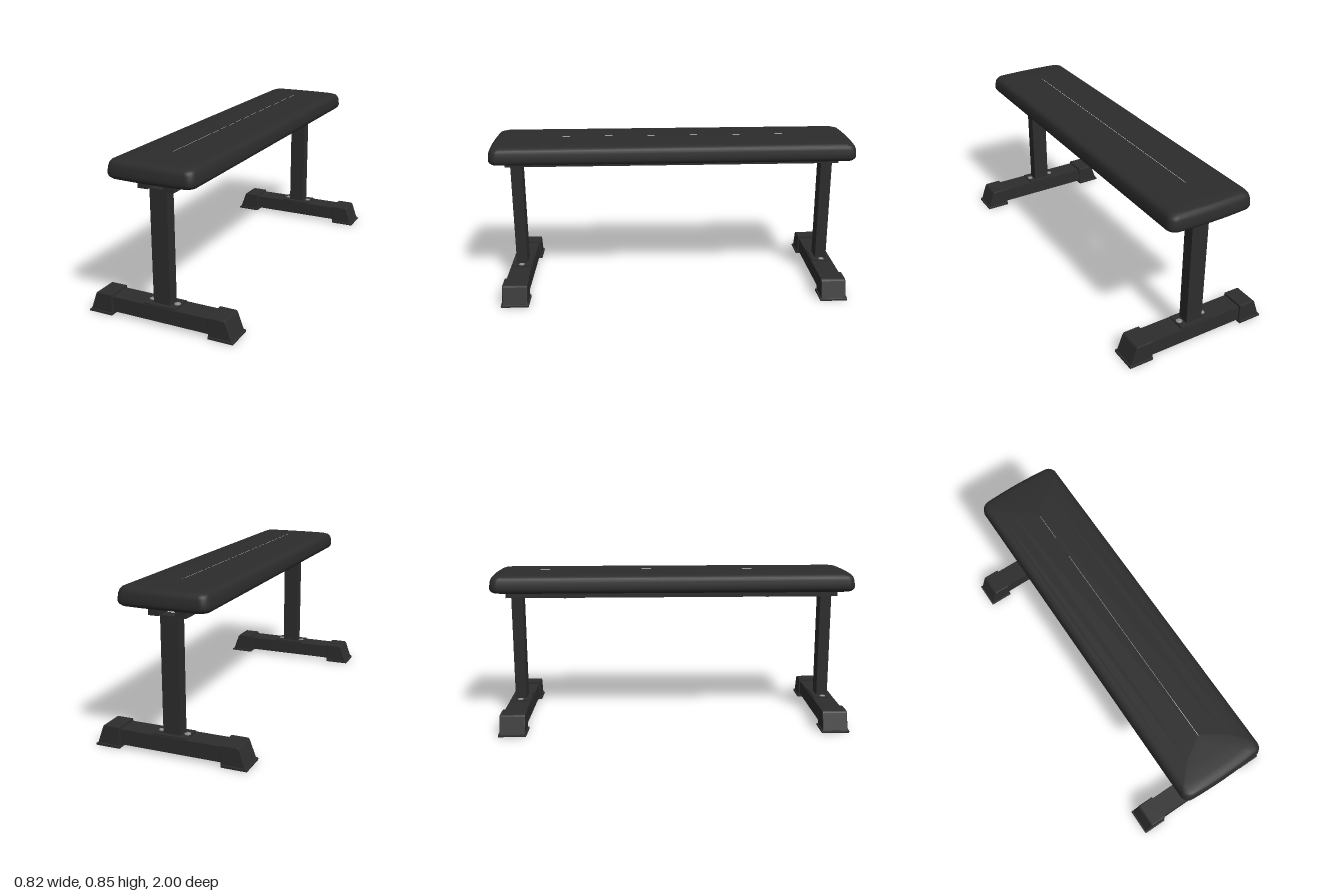
import * as THREE from 'three';

const padMat = new THREE.MeshStandardMaterial({ color: 0x2c2c2c });
padMat.name = 'black vinyl';
const frameMat = new THREE.MeshStandardMaterial({ color: 0x2d2d2d });
frameMat.name = 'black steel';
const boltMat = new THREE.MeshStandardMaterial({ color: 0x8c8c8c });
boltMat.name = 'bolt grey';

function add(parent, geo, mat, name, x = 0, y = 0, z = 0) {
  const mesh = new THREE.Mesh(geo, mat);
  mesh.name = name;
  mesh.position.set(x, y, z);
  parent.add(mesh);
  return mesh;
}

// Rounded rectangle outline in x-z, with gently bowed ends
function padRing(inset, y) {
  const hx = 0.237 - inset, hz = 0.99 - inset, r = Math.min(0.04, hx);
  const pts = [];
  const push = (x, z) => pts.push(x, y, z + Math.sign(z) * 0.01 * (1 - (x / hx) ** 2));
  for (let q = 0; q < 4; q++) {
    const sx = q === 0 || q === 3 ? 1 : -1, sz = q < 2 ? 1 : -1;
    for (let k = 0; k <= 6; k++) {
      const a = (q + k / 6) * Math.PI / 2;
      push(sx * (hx - r) + r * Math.cos(a), sz * (hz - r) + r * Math.sin(a));
    }
    if (q % 2 === 0) {
      for (let k = 1; k < 8; k++) push(sx * (hx - r) * (1 - k / 4), sz * hz);
    }
  }
  return pts;
}

// Pad lofted from [inset, height] layers, bottom to top
function padGeometry() {
  const layers = [[0.236, 0.737], [0.07, 0.737], [0.035, 0.74], [0.013, 0.746], [0.004, 0.755],
    [0, 0.767], [0.001, 0.785], [0.004, 0.808], [0.009, 0.822], [0.017, 0.832], [0.032, 0.838],
    [0.06, 0.841], [0.12, 0.844], [0.236, 0.846]];
  const rings = layers.map(([inset, y]) => padRing(inset, y));
  const n = rings[0].length / 3, index = [];
  for (let i = 0; i < rings.length - 1; i++) {
    for (let j = 0; j < n; j++) {
      const a = i * n + j, b = i * n + (j + 1) % n;
      index.push(a, a + n, b, b, a + n, b + n);
    }
  }
  const geo = new THREE.BufferGeometry();
  geo.setAttribute('position', new THREE.Float32BufferAttribute(rings.flat(), 3));
  geo.setIndex(index);
  geo.computeVertexNormals();
  return geo;
}

// Extrude an x-y outline to a given depth, centred on z, with a small bevel
function slab(points, depth, bevel) {
  const shape = new THREE.Shape(points.map(([x, y]) => new THREE.Vector2(x, y)));
  const geo = new THREE.ExtrudeGeometry(shape, {
    depth: depth - 2 * bevel, bevelEnabled: true, bevelSize: bevel, bevelOffset: -bevel,
    bevelThickness: bevel, bevelSegments: 2,
  });
  return geo.translate(0, 0, -depth / 2 + bevel);
}

// Domed bolt head on a washer
function addBolt(parent, name, x, y, z, up) {
  const bolt = new THREE.Group();
  bolt.name = name;
  add(bolt, new THREE.CylinderGeometry(0.016, 0.016, 0.003, 20), boltMat, 'washer', 0, 0.0015, 0);
  add(bolt, new THREE.CylinderGeometry(0.007, 0.011, 0.003, 20), boltMat, 'boltHead', 0, 0.0045, 0);
  bolt.position.set(x, y, z);
  if (!up) bolt.rotation.x = Math.PI;
  parent.add(bolt);
}

export function createModel() {
  const model = new THREE.Group();
  model.name = 'flatBench';
  add(model, padGeometry(), padMat, 'pad');

  // Rails under the pad, with their bolts
  for (const s of [-1, 1]) {
    add(model, new THREE.BoxGeometry(0.055, 0.042, 1.85), frameMat, 'rail', s * 0.0705, 0.72, 0);
    for (const z of [0.535, -0.6]) addBolt(model, 'railBolt', s * 0.07, 0.699, z, false);
  }

  // Outer foot outlines
  const cap = [[0.272, 0.005], [0.403, 0.005], [0.369, 0.1], [0.364, 0.108], [0.357, 0.111], [0.272, 0.111]];
  const lip = [[0.274, 0], [0.408, 0], [0.408, 0.009], [0.402, 0.013], [0.274, 0.013]];

  // Two identical leg assemblies
  for (const end of [1, -1]) {
    const leg = new THREE.Group();
    leg.name = end > 0 ? 'frontLeg' : 'backLeg';
    leg.position.z = end * 0.872;
    model.add(leg);
    add(leg, new THREE.BoxGeometry(0.094, 0.597, 0.062), frameMat, 'post', 0, 0.4015, 0);
    add(leg, new THREE.BoxGeometry(0.66, 0.08, 0.12), frameMat, 'baseBeam', 0, 0.06, 0);
    add(leg, new THREE.BoxGeometry(0.18, 0.007, 0.11), frameMat, 'basePlate', 0, 0.1035, 0);
    for (const s of [-1, 1]) {
      addBolt(leg, 'plateBolt', s * 0.07, 0.107, 0, true);
      const foot = new THREE.Group();
      foot.name = s > 0 ? 'leftFoot' : 'rightFoot';
      if (s < 0) foot.rotation.y = Math.PI;
      add(foot, slab(cap, 0.136, 0.004), frameMat, 'footCap');
      add(foot, slab(lip, 0.15, 0.002), frameMat, 'footLip');
      leg.add(foot);
    }
  }
  return model;
}
